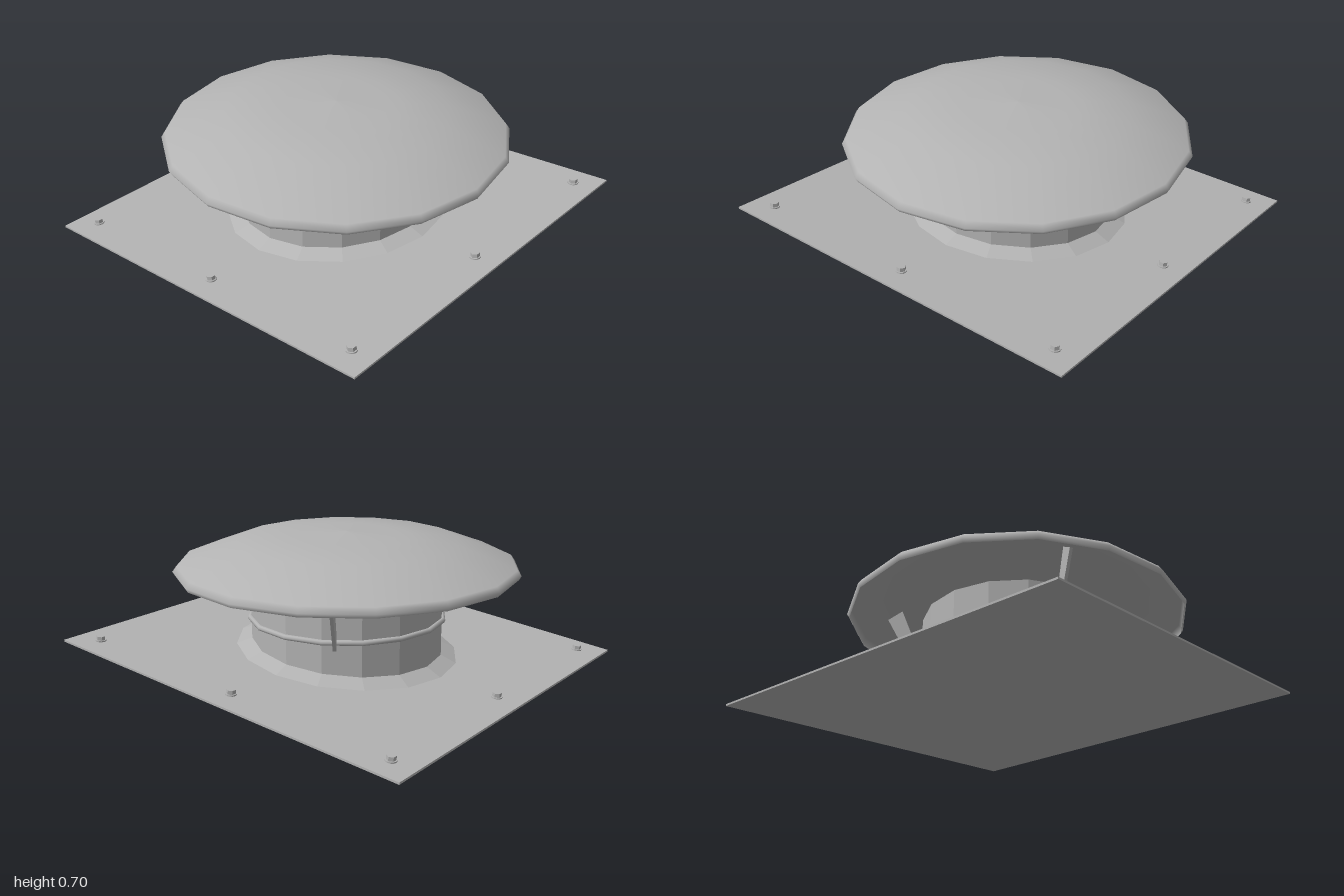
import * as THREE from 'three';

const SIDES = 16;
const steel = new THREE.MeshStandardMaterial({ color: 0xb4b4b4, side: THREE.DoubleSide });
steel.name = 'galvanised grey';
const steelFlat = steel.clone();
steelFlat.flatShading = true;

// Height of the sloping roof plate's top face at depth z
const roofY = (z) => 0.105 + 0.095 * z;

function add(parent, name, geometry, material = steelFlat) {
  const mesh = new THREE.Mesh(geometry, material);
  mesh.name = name;
  parent.add(mesh);
  return mesh;
}

const lathe = (points) =>
  new THREE.LatheGeometry(points.map(([r, y]) => new THREE.Vector2(r, y)), SIDES);

// Shift chosen vertices so that their local y is measured from the roof plate
function followRoof(geometry, applies = () => true) {
  const p = geometry.attributes.position;
  for (let i = 0; i < p.count; i++) {
    if (applies(p.getY(i))) p.setY(i, p.getY(i) + roofY(p.getZ(i)));
  }
  geometry.computeVertexNormals();
  return geometry;
}

export function createModel() {
  const model = new THREE.Group();
  model.name = 'roofVent';

  // Sloping base plate
  add(model, 'basePlate', followRoof(new THREE.BoxGeometry(2, 0.01, 2).translate(0, -0.005, 0)));

  // Flared flashing around the foot of the pipe
  add(model, 'flashing', followRoof(lathe([[0.565, 0], [0.487, 0.032]])));

  // Pipe, cut along the slope at its foot
  add(model, 'pipe', followRoof(lathe([[0.487, 0], [0.487, 0.51]]), (y) => y < 0.1));

  // Bead around the pipe
  const bead = new THREE.TorusGeometry(0.492, 0.014, 8, SIDES).rotateX(Math.PI / 2);
  add(model, 'pipeBead', bead, steel).position.y = 0.276;

  // Hollow rain cap with a turned-in rim
  add(model, 'rainCap', lathe([
    [0.86, 0.507], [0.872, 0.527], [0.852, 0.555], [0.56, 0.665],
    [0.33, 0.685], [0.26, 0.692], [0, 0.705],
  ]), steel);

  // Three radial struts holding the cap
  const outline = new THREE.Shape([
    [0.485, 0.24], [0.505, 0.24], [0.69, 0.595], [0.615, 0.635], [0.485, 0.305],
  ].map(([r, y]) => new THREE.Vector2(r, y)));
  // Keep the outer edge in line with the lower slope
  outline.curves[1].v2.set(0.69, 0.59);
  outline.curves[2].v1.set(0.69, 0.59);
  const strutGeometry = new THREE.ExtrudeGeometry(outline, { depth: 0.016, bevelEnabled: false })
    .translate(0, 0, -0.008);
  for (let i = 0; i < 3; i++) {
    add(model, 'capStrut', strutGeometry).rotation.y = -Math.PI / 2 + (i * 2 * Math.PI) / 3;
  }

  // Eight hex bolts with washers around the plate edge
  const washer = new THREE.CylinderGeometry(0.027, 0.027, 0.006, 12);
  const head = new THREE.CylinderGeometry(0.022, 0.022, 0.02, 6).rotateY(Math.PI / 6);
  for (const x of [-0.875, 0, 0.875]) {
    for (const z of [-0.875, 0, 0.875]) {
      if (x === 0 && z === 0) continue;
      const bolt = new THREE.Group();
      bolt.name = 'bolt';
      add(bolt, 'washer', washer).position.y = 0.003;
      add(bolt, 'boltHead', head).position.y = 0.015;
      bolt.position.set(x, roofY(z), z);
      bolt.rotation.x = -Math.atan(0.095);
      model.add(bolt);
    }
  }
  return model;
}
